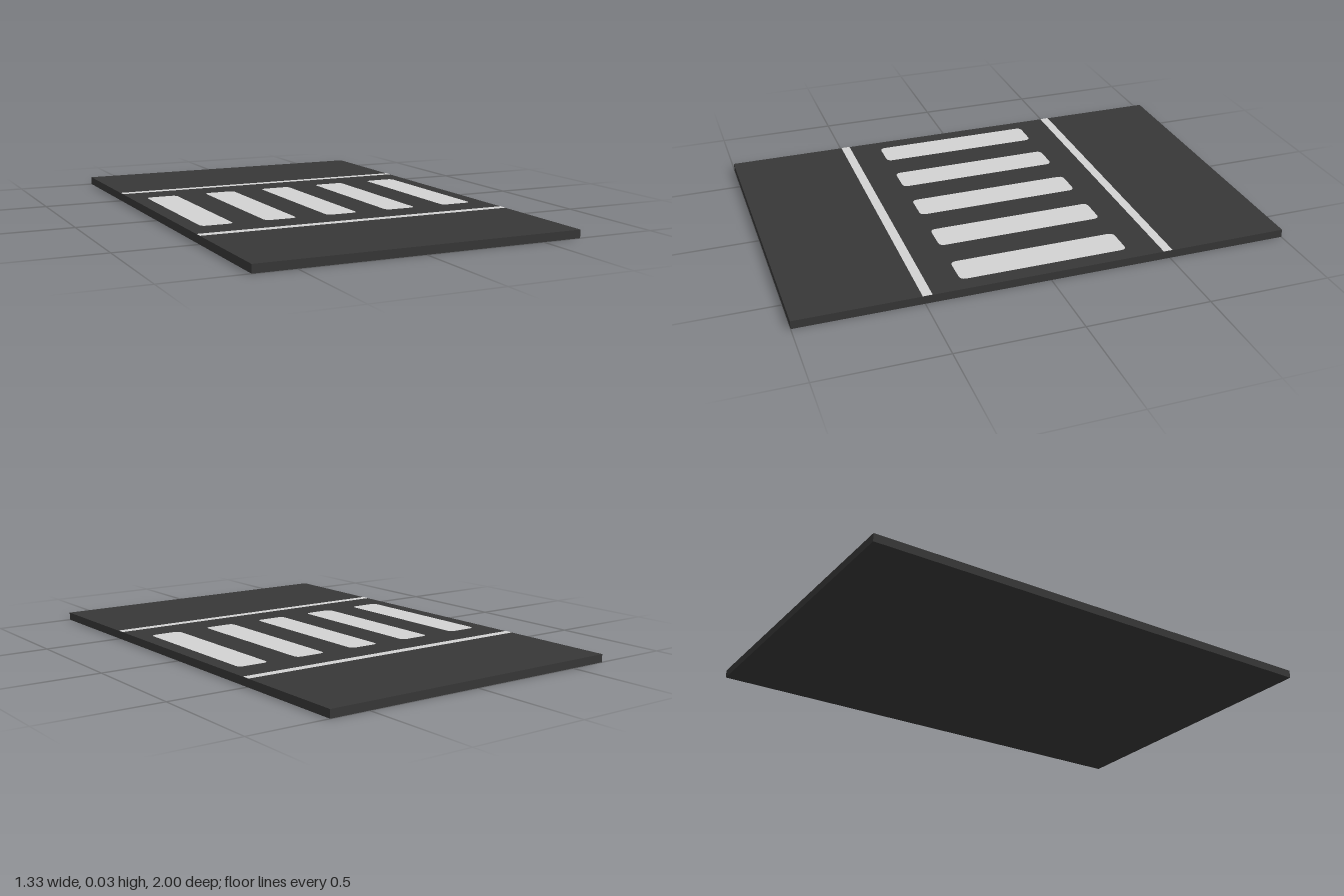
import * as THREE from 'three';

const WIDTH = 1.333, LENGTH = 2, HEIGHT = 0.033;

// Flat rounded rectangle in the ground plane, facing up
function roundedPlate(width, length, r) {
  const x = width / 2, y = length / 2;
  const s = new THREE.Shape();
  s.moveTo(-x + r, -y);
  s.lineTo(x - r, -y);
  s.quadraticCurveTo(x, -y, x, -y + r);
  s.lineTo(x, y - r);
  s.quadraticCurveTo(x, y, x - r, y);
  s.lineTo(-x + r, y);
  s.quadraticCurveTo(-x, y, -x, y - r);
  s.lineTo(-x, -y + r);
  s.quadraticCurveTo(-x, -y, -x + r, -y);
  return new THREE.ShapeGeometry(s, 6).rotateX(-Math.PI / 2);
}

export function createModel() {
  const group = new THREE.Group();
  group.name = 'pedestrianCrossing';

  const asphalt = new THREE.MeshStandardMaterial({ color: 0x373737 });
  asphalt.name = 'asphalt';
  const paint = new THREE.MeshStandardMaterial({ color: 0xd2d2d2 });
  paint.name = 'roadPaint';

  const add = (name, geometry, material, x, y, z) => {
    const mesh = new THREE.Mesh(geometry, material);
    mesh.name = name;
    mesh.position.set(x, y, z);
    group.add(mesh);
  };

  // Road slab
  add('roadSlab', new THREE.BoxGeometry(WIDTH, HEIGHT, LENGTH), asphalt, 0, HEIGHT / 2, 0);

  // Five crossing bars with rounded corners
  const paintY = HEIGHT + 0.001;
  const bar = roundedPlate(0.135, 0.685, 0.025);
  for (let i = -2; i <= 2; i++) {
    add(`crossingBar${i + 3}`, bar, paint, i * 0.267, paintY, 0);
  }

  // Stop lines across the full road width
  const line = new THREE.PlaneGeometry(WIDTH, 0.038).rotateX(-Math.PI / 2);
  add('frontStopLine', line, paint, 0, paintY, 0.49);
  add('backStopLine', line, paint, 0, paintY, -0.49);

  return group;
}
